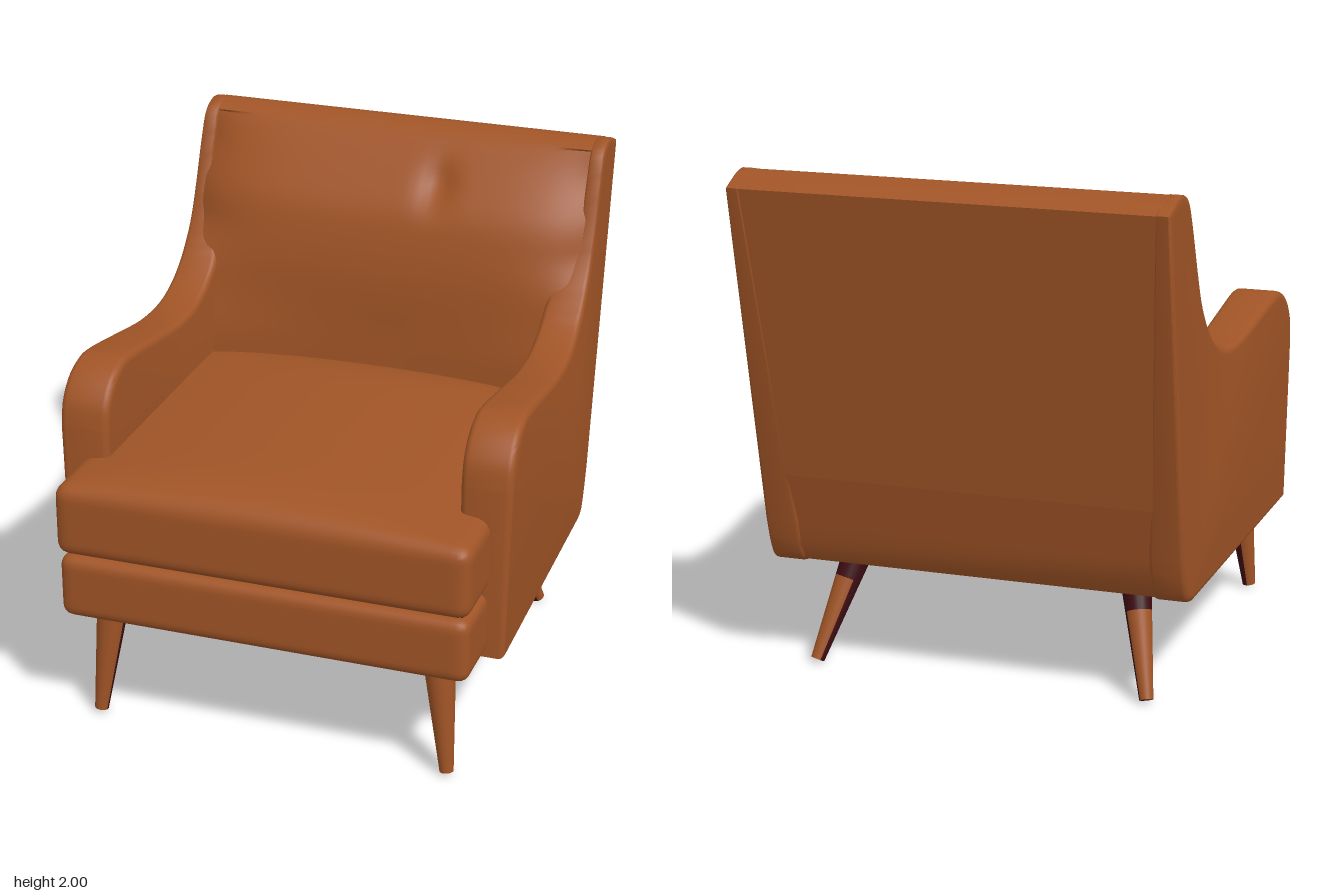
import * as THREE from 'three';
import { toCreasedNormals } from 'three/addons/utils/BufferGeometryUtils.js';

const leather = new THREE.MeshStandardMaterial({ color: 0xa05426 });
leather.name = 'tan leather';
const lining = new THREE.MeshStandardMaterial({ color: 0x3c0c12 });
lining.name = 'dark red';

const clamp = THREE.MathUtils.clamp, lerp = THREE.MathUtils.lerp, smooth = THREE.MathUtils.smoothstep;
const vecs = (list) => list.map(([a, b]) => new THREE.Vector2(a, b));

// Move every vertex by a rule
function warp(geo, rule) {
  const p = geo.attributes.position, v = new THREE.Vector3();
  for (let i = 0; i < p.count; i++) {
    rule(v.fromBufferAttribute(p, i));
    p.setXYZ(i, v.x, v.y, v.z);
  }
  return geo;
}

// Extrude a (z, y) side profile across x, centred on x = 0
function acrossX(shape, width, bevel, steps) {
  const depth = width - 2 * bevel;
  const geo = new THREE.ExtrudeGeometry(shape, {
    depth, steps, curveSegments: 5, bevelEnabled: bevel > 0,
    bevelSize: bevel, bevelThickness: bevel, bevelOffset: -bevel, bevelSegments: 4,
  });
  return geo.translate(0, 0, -depth / 2).rotateY(-Math.PI / 2);
}

// Rounded upholstered block with an optional crowned top
function softBlock(w, h, d, r, crown) {
  const half = new THREE.Vector3(w / 2, h / 2, d / 2), core = new THREE.Vector3();
  const geo = warp(new THREE.BoxGeometry(w, h, d, 64, 16, 64), (v) => {
    core.set(...['x', 'y', 'z'].map((k) => clamp(v[k], r - half[k], half[k] - r)));
    const off = v.clone().sub(core);
    if (off.lengthSq() > 0) v.copy(core).addScaledVector(off.normalize(), r);
    const u = v.x / half.x, t = v.z / half.z;
    if (v.y > 0) v.y += crown * (1 - u * u) * (1 - t ** 8) * (v.y / half.y);
  });
  return toCreasedNormals(geo, 0.7);
}

export function createModel() {
  const group = new THREE.Group();
  const add = (name, geo, mat, parent = group) => {
    const mesh = new THREE.Mesh(geo, mat);
    mesh.name = name;
    parent.add(mesh);
    return mesh;
  };

  // Side panels: arm and wing in one sweep
  const side = new THREE.Shape();
  side.moveTo(0.7, 0.45);
  side.lineTo(0.7, 1.14);
  side.splineThru(vecs([[0.68, 1.24], [0.62, 1.32], [0.54, 1.362], [0.44, 1.37], [0.2, 1.335],
    [-0.02, 1.303], [-0.2, 1.305], [-0.33, 1.345], [-0.44, 1.42], [-0.54, 1.54], [-0.61, 1.68],
    [-0.68, 1.86], [-0.73, 1.96], [-0.8, 1.997], [-0.87, 1.99], [-0.97, 1.95]]));
  side.lineTo(-0.7, 0.6);
  side.splineThru(vecs([[-0.67, 0.5], [-0.63, 0.43], [-0.57, 0.41]]));
  for (const s of [1, -1]) {
    const geo = warp(acrossX(side, 0.2, 0.028, 1), (v) => {
      const outer = 0.9 - 0.055 * (0.7 - v.z) / 1.65 - 0.012 * smooth(1.2 - v.y, 0, 0.8);
      const inner = 0.7 + 0.09 * smooth(v.y, 1.38, 1.75);
      v.x = s * lerp(inner, outer, (v.x * s + 0.1) / 0.2);
    });
    add(s > 0 ? 'leftArm' : 'rightArm', toCreasedNormals(geo, 0.6), leather);
  }

  // Backrest: bulging in the middle, with one button dent
  const back = new THREE.Shape();
  back.moveTo(-0.42, 0.8);
  back.splineThru(vecs([[-0.43, 1.0], [-0.44, 1.2], [-0.45, 1.4], [-0.475, 1.55], [-0.52, 1.69],
    [-0.6, 1.81], [-0.69, 1.92], [-0.75, 1.975], [-0.82, 1.998], [-0.89, 1.985], [-0.965, 1.948]]));
  back.lineTo(-0.74, 0.8);
  const backGeo = warp(acrossX(back, 1.62, 0, 48), (v) => {
    const u = v.x / 0.81;
    const front = smooth(v.z, -0.8, -0.6);
    if (v.y < 1.97) v.z -= 0.09 * u ** 6 * front * smooth(v.y, 1.35, 1.6);
    if (v.z > -0.6) v.z += 0.05 * u * u * (1 - smooth(v.y, 1.1, 1.4));
    const r2 = ((v.x - 0.2) / 0.06) ** 2 + ((v.y - 1.8) / 0.08) ** 2;
    if (v.z > -0.72) v.z -= 0.04 * Math.exp(-r2);
  });
  add('backrest', toCreasedNormals(backGeo, 0.7), leather);

  // Lower body between the arms
  const body = new THREE.Shape(vecs([[0.69, 0.45], [0.69, 0.8], [-0.74, 0.8], [-0.69, 0.6],
    [-0.665, 0.5], [-0.625, 0.432], [-0.57, 0.411]]));
  add('lowerBody', toCreasedNormals(acrossX(body, 1.56, 0, 1), 0.6), leather);

  // Seat cushion, front rail and the dark gap between them
  add('seatCushion', softBlock(1.64, 0.29, 1.46, 0.05, 0.065), leather).position.set(0, 0.875, 0.235);
  add('frontRail', softBlock(1.63, 0.26, 0.4, 0.045, 0), leather).position.set(0, 0.588, 0.75);
  add('seatGap', new THREE.BoxGeometry(1.56, 0.1, 0.3), lining).position.set(0, 0.725, 0.75);

  // Dark patch on the front of the right arm
  const patch = new THREE.Shape(vecs([[-0.815, 0.53], [-0.79, 0.56], [-0.79, 0.93], [-0.83, 0.94],
    [-0.855, 0.88], [-0.868, 0.75], [-0.85, 0.6]]));
  add('armPatch', new THREE.ShapeGeometry(patch), lining).position.z = 0.704;

  // Tapered, splayed legs with a dark strip on the inner side
  const up = new THREE.Vector3(0, 1, 0);
  const legs = [
    { name: 'FrontLeg', top: [0.66, 0.48, 0.79], foot: [0.71, 0, 0.833], face: 125, span: 100, collar: 0 },
    { name: 'BackLeg', top: [0.56, 0.46, -0.385], foot: [0.675, 0, -0.602], face: 60, span: 150, collar: 0.34 },
  ];
  for (const { name, top, foot, face, span, collar } of legs) for (const s of [1, -1]) {
    const a = new THREE.Vector3(top[0] * s, top[1], top[2]);
    const b = new THREE.Vector3(foot[0] * s, foot[1] + 0.008, foot[2]);
    const leg = new THREE.Group();
    leg.name = (s > 0 ? 'left' : 'right') + name;
    leg.position.copy(b);
    const axis = a.clone().sub(b), len = axis.length();
    leg.quaternion.setFromUnitVectors(up, axis.normalize());
    const radius = (t) => lerp(0.027, 0.064, t);
    const piece = (part, t0, t1, start, sweep, mat) => {
      const geo = new THREE.CylinderGeometry(radius(t1), radius(t0), (t1 - t0) * len, 20, 1, false,
        THREE.MathUtils.degToRad(start), THREE.MathUtils.degToRad(sweep));
      add(part, geo, mat, leg).position.y = (t0 + t1) / 2 * len;
    };
    const start = -s * face - span / 2;
    piece('legStrip', 0, 1 - collar, start, span, lining);
    piece('legWood', 0, 1 - collar, start + span, 360 - span, leather);
    if (collar) piece('legCollar', 1 - collar, 1, 0, 360, lining);
    group.add(leg);
  }
  return group;
}
